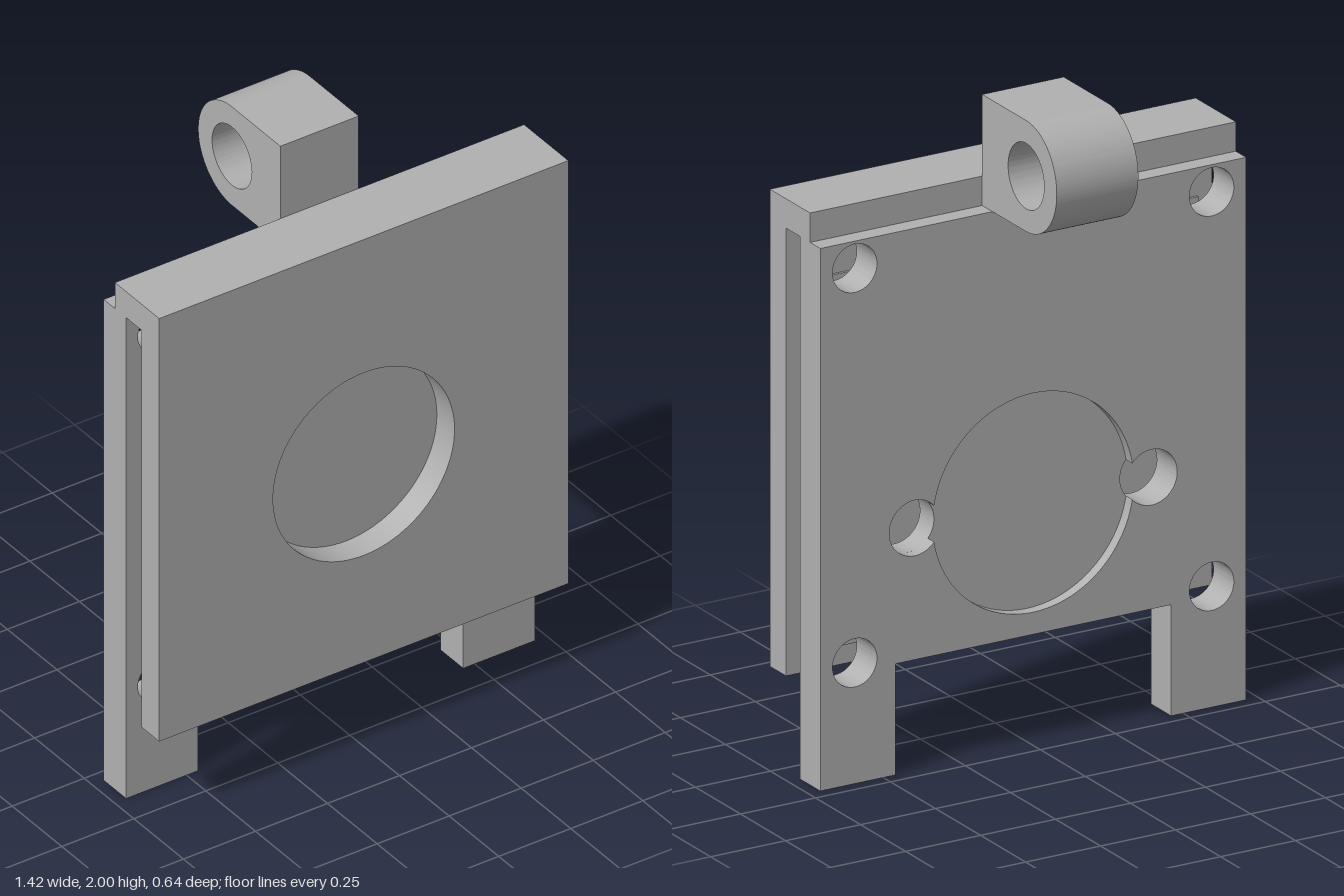
import * as THREE from 'three';
import { toCreasedNormals } from 'three/addons/utils/BufferGeometryUtils.js';

export function createModel() {
  const group = new THREE.Group();
  const grey = new THREE.MeshStandardMaterial({ color: 0xb0b0b0 });
  grey.name = 'grey';

  const add = (name, geometry) => {
    const mesh = new THREE.Mesh(geometry, grey);
    mesh.name = name;
    group.add(mesh);
    return mesh;
  };
  const box = (name, x0, x1, y0, y1, z0, z1) =>
    add(name, new THREE.BoxGeometry(x1 - x0, y1 - y0, z1 - z0))
      .position.set((x0 + x1) / 2, (y0 + y1) / 2, (z0 + z1) / 2);
  const polygon = (points) => new THREE.Shape(points.map(([x, y]) => new THREE.Vector2(x, y)));
  const circle = (x, y, r) => new THREE.Path().absarc(x, y, r, 0, Math.PI * 2, false);
  const extrude = (shape, depth) => toCreasedNormals(
    new THREE.ExtrudeGeometry(shape, { depth, bevelEnabled: false, curveSegments: 48 }), 0.6);
  const slab = (name, shape, z0, z1) => add(name, extrude(shape, z1 - z0)).position.z = z0;

  const W = 0.71;

  // Front plate with its round window, closed from behind by a thin panel
  const front = polygon([[-W, 0.29], [W, 0.29], [W, 1.75], [-W, 1.75]]);
  front.holes.push(circle(0, 0.975, 0.315));
  slab('frontPlate', front, 0.23, 0.32);
  box('innerPanel', -0.66, 0.66, 0.35, 1.49, 0.222, 0.231);

  // Bridge joining the two plates at the top
  box('topBridge', -W, W, 1.66, 1.75, 0.097, 0.23);

  // Back plate outline with two legs and four corner holes
  const backShape = () => {
    const shape = polygon([
      [-W, 0], [-0.46, 0], [-0.46, 0.34], [0.46, 0.34], [0.46, 0], [W, 0], [W, 1.66], [-W, 1.66],
    ]);
    for (const x of [-0.595, 0.595]) {
      for (const y of [0.37, 1.577]) shape.holes.push(circle(x, y, 0.074));
    }
    return shape;
  };

  // Shallow round recess that merges with a small hole on each side
  const cy = 0.743, R = 0.335, d = 0.395, r = 0.085;
  const ix = (d * d + R * R - r * r) / (2 * d);
  const iy = Math.sqrt(R * R - ix * ix);
  const a = Math.atan2(iy, ix), b = Math.atan2(iy, ix - d);
  const recess = new THREE.Path();
  recess.absarc(0, cy, R, a, Math.PI - a, false);
  recess.absarc(-d, cy, r, Math.PI - b, Math.PI + b, false);
  recess.absarc(0, cy, R, Math.PI + a, 2 * Math.PI - a, false);
  recess.absarc(d, cy, r, -b, b, false);

  const rear = backShape();
  rear.holes.push(recess);
  slab('backPlateRecessed', rear, 0.04, 0.075);

  const core = backShape();
  for (const s of [-1, 1]) core.holes.push(circle(s * d, cy, r));
  slab('backPlateCore', core, 0.075, 0.153);

  // Hanging lug with a rounded end and cross hole, extruded along x
  const lug = new THREE.Shape();
  lug.moveTo(-0.097, 1.66);
  lug.lineTo(0.147, 1.66);
  lug.absarc(0.147, 1.83, 0.17, -Math.PI / 2, Math.PI / 2, false);
  lug.lineTo(-0.097, 2);
  lug.closePath();
  lug.holes.push(circle(0.147, 1.83, 0.1));
  const lugMesh = add('hangingLug', extrude(lug, 0.272));
  lugMesh.rotation.y = Math.PI / 2;
  lugMesh.position.x = -0.136;

  return group;
}
